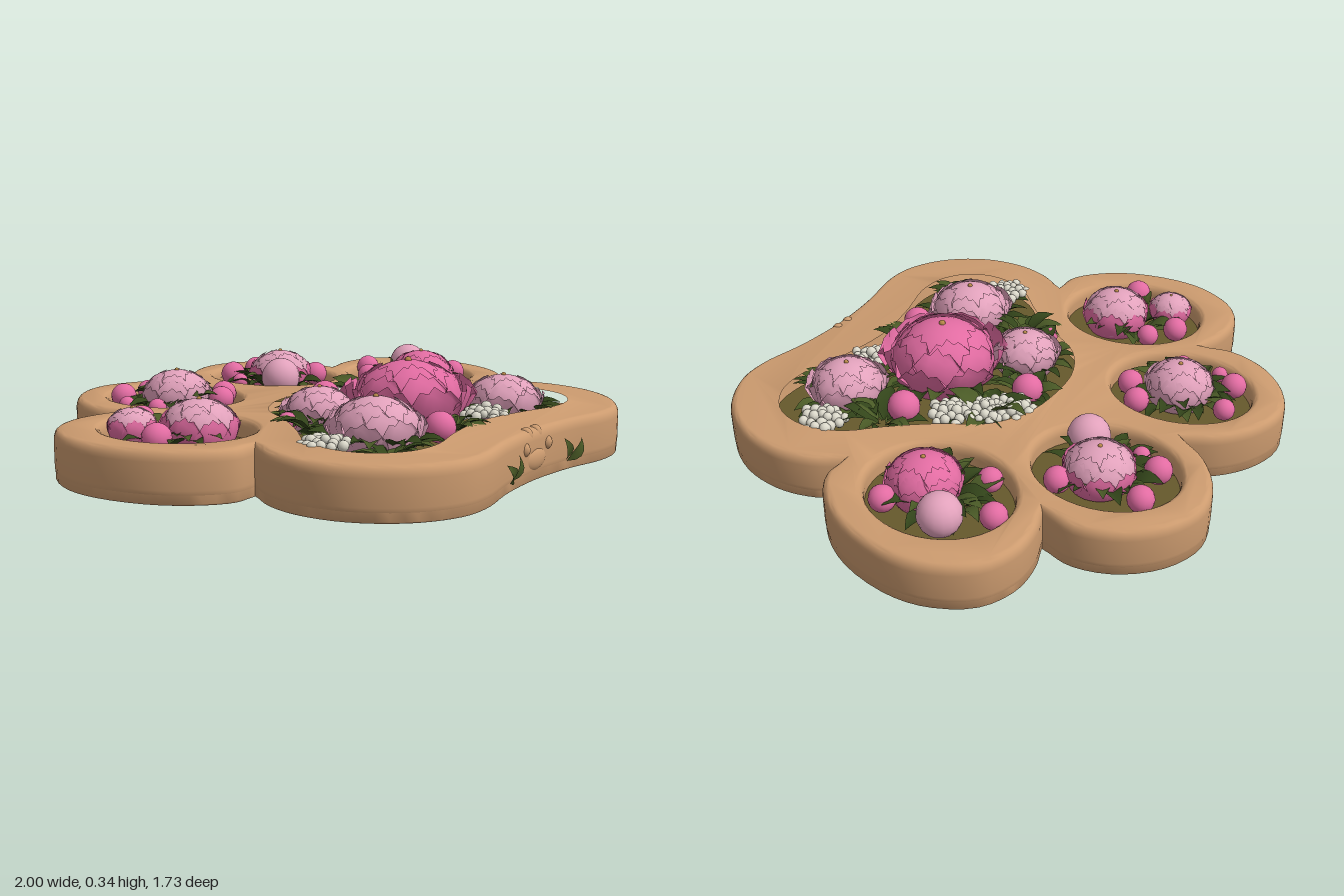
import * as THREE from 'three';
import { mergeGeometries, toCreasedNormals } from 'three/addons/utils/BufferGeometryUtils.js';

const mat = (name, color, side = THREE.FrontSide) => {
  const m = new THREE.MeshStandardMaterial({ color, side });
  m.name = name;
  return m;
};
const V = (x, y, z) => new THREE.Vector3(x, y, z);

// Smooth list of [x, z] points, sampled as shape points (shape y = -z)
const spline = (pts, n, closed = false) =>
  new THREE.CatmullRomCurve3(pts.map(([x, z]) => V(x, -z, 0)), closed, 'centripetal')
    .getPoints(n).slice(0, -1).map((p) => new THREE.Vector2(p.x, p.y));
const mirror = (pts) => pts.map(([x, z]) => [-x, z]).reverse();

// Surface from a grid of points f(u, v), u and v in 0..1
function sheet(nu, nv, f) {
  const pos = [], idx = [];
  for (let j = 0; j <= nv; j++) for (let i = 0; i <= nu; i++) pos.push(...f(i / nu, j / nv, i));
  for (let j = 0; j < nv; j++) for (let i = 0; i < nu; i++) {
    const a = j * (nu + 1) + i, b = a + nu + 1;
    idx.push(a, a + 1, b, a + 1, b + 1, b);
  }
  const g = new THREE.BufferGeometry();
  g.setAttribute('position', new THREE.Float32BufferAttribute(pos, 3));
  g.setIndex(idx);
  g.computeVertexNormals();
  return g;
}

// Cupped petal with a ragged tip, wrapped on a flattened globe of radius 1
const petal = (low, high, half, flare) => sheet(6, 5, (u, v, i) => {
  const s = u * 2 - 1;
  const tip = 1 - 0.22 * s * s - (i % 2 ? 0 : 0.1);
  const t = THREE.MathUtils.degToRad(low + (high - low) * v * tip);
  const a = s * half * Math.sin(Math.PI * (0.3 + 0.45 * v));
  const r = 1 + flare * v * v;
  return [Math.sin(t) * Math.sin(a) * r, Math.cos(t) * 0.85, Math.sin(t) * Math.cos(a) * r];
});

// Pointed leaf along +z, folded at the midrib, drooping at its tip
const leafShape = () => sheet(2, 5, (u, v) => {
  const w = 0.24 * Math.sin(Math.PI * Math.pow(v, 0.8));
  return [(u * 2 - 1) * w, Math.abs(u * 2 - 1) * w * 0.4 + 0.22 * Math.sin(v * 2.6), v];
});

export function createModel() {
  const group = new THREE.Group();
  const clay = mat('clay', 0xcc9b6f), soil = mat('soil', 0x66592c);
  const light = mat('lightPink', 0xe2a2bc, THREE.DoubleSide);
  const deep = mat('deepPink', 0xe26ca2, THREE.DoubleSide);
  const green = mat('darkGreen', 0x33451a, THREE.DoubleSide);
  const olive = mat('leafGreen', 0x4a5a26, THREE.DoubleSide);
  const cream = mat('cream', 0xdddacc), gold = mat('gold', 0xb98a4a);
  let seed = 7;
  const rand = (a, b) => {
    seed = (seed * 16807) % 2147483647;
    return a + (b - a) * seed / 2147483647;
  };
  const add = (name, geo, material, parent = group) => {
    const m = new THREE.Mesh(geo, material);
    m.name = name;
    parent.add(m);
  };

  // Paw outline: inner toe, outer toe, then the pad right across the front
  const toeA = [[0, -0.65], [0.06, -0.75], [0.17, -0.835], [0.31, -0.87], [0.45, -0.82], [0.56, -0.7], [0.6, -0.56], [0.575, -0.45]];
  const toeB = [[0.575, -0.45], [0.66, -0.48], [0.78, -0.485], [0.9, -0.43], [0.98, -0.3], [1, -0.16], [0.96, 0.03], [0.88, 0.16], [0.78, 0.235], [0.695, 0.235]];
  const padSide = [[0.695, 0.235], [0.75, 0.33], [0.775, 0.46], [0.745, 0.62], [0.64, 0.77], [0.5, 0.85], [0.38, 0.86], [0.2, 0.825]];
  const outline = [
    ...spline(toeA, 26), ...spline(toeB, 30), ...spline([...padSide, [0, 0.81], ...mirror(padSide)], 70),
    ...spline(mirror(toeB), 30), ...spline(mirror(toeA), 26),
  ];

  // Pockets: four tilted ovals and the pad
  const oval = (x, z, rx, rz, tilt) => new THREE.EllipseCurve(x, -z, rx, rz, 0, Math.PI * 2, false, tilt).getPoints(40).slice(0, -1);
  const padHalf = [[0.16, -0.16], [0.3, -0.075], [0.39, 0.07], [0.49, 0.2], [0.595, 0.32], [0.64, 0.46], [0.605, 0.6], [0.5, 0.685], [0.37, 0.7], [0.2, 0.655]];
  const pockets = [
    oval(-0.275, -0.505, 0.212, 0.252, 0.08), oval(0.275, -0.505, 0.212, 0.252, -0.08),
    oval(-0.655, -0.12, 0.222, 0.255, 0.2), oval(0.655, -0.12, 0.222, 0.255, -0.2),
    spline([[0, -0.18], ...padHalf, [0, 0.625], ...mirror(padHalf)], 80, true),
  ];

  // Tray: solid base below, pocketed rounded rim above
  const extrude = (pts, holes, y0, y1, size, thick, inset) => {
    const shape = new THREE.Shape(pts);
    shape.holes = holes.map((h) => new THREE.Path(h));
    const g = new THREE.ExtrudeGeometry(shape, {
      depth: y1 - y0 - 2 * thick, bevelEnabled: true, bevelSize: size, bevelOffset: -size - inset,
      bevelThickness: thick, bevelSegments: 5,
    });
    g.rotateX(-Math.PI / 2).translate(0, y0 + thick, 0);
    return toCreasedNormals(g, 0.7);
  };
  add('trayBase', extrude(outline, [], 0, 0.095, 0.006, 0.008, 0.002), clay);
  add('trayRim', extrude(outline, pockets, 0.01, 0.167, 0.024, 0.036, 0), clay);
  pockets.forEach((p) => {
    const g = new THREE.ShapeGeometry(new THREE.Shape(p)).rotateX(-Math.PI / 2);
    add('pocketSoil', g.translate(0, 0.1, 0), soil);
  });

  // Leaves fanned around a centre, from radius r0 to r1
  const leafGeo = leafShape();
  const leaf = (x, y, z, yaw, pitch, roll, len) => {
    const m = new THREE.Matrix4().compose(V(x, y, z),
      new THREE.Quaternion().setFromEuler(new THREE.Euler(pitch, yaw, roll, 'YXZ')), V(len, len, len));
    return leafGeo.clone().applyMatrix4(m);
  };
  const fan = (x, z, r0, r1, n) => {
    const sets = [[], []];
    for (let i = 0; i < n; i++) {
      const a = (i + rand(-0.3, 0.3)) / n * Math.PI * 2, r = r0 * rand(0.8, 1);
      sets[i % 3 === 0 ? 1 : 0].push(leaf(x + Math.sin(a) * r, rand(0.105, 0.135), z + Math.cos(a) * r,
        a + rand(-0.3, 0.3), rand(-0.35, 0), rand(-0.3, 0.3), (r1 - r0) * rand(0.9, 1.15)));
    }
    add('darkLeaves', mergeGeometries(sets[0]), green);
    add('leaves', mergeGeometries(sets[1]), olive);
  };

  // Peony: core globe and rings of overlapping petals
  const rings = [[8, 125, 58, 0.55, 0.33], [7, 115, 42, 0.62, 0.12], [6, 100, 24, 0.75, 0.05]];
  const peony = (x, z, r, y, inner, outer, open = 1) => {
    const flower = new THREE.Group();
    flower.name = 'peony';
    flower.position.set(x, y, z);
    flower.scale.setScalar(r);
    flower.rotation.y = rand(0, 6);
    group.add(flower);
    add('core', new THREE.SphereGeometry(0.95, 24, 16).scale(1, 0.86, 1), inner, flower);
    rings.forEach(([n, low, high, half, flare], k) => {
      const geos = [];
      for (let i = 0; i < n; i++) {
        geos.push(petal(low, high + rand(-5, 5), half, flare * open + (i % 2) * 0.03)
          .rotateY((i + k * 0.5) / n * Math.PI * 2));
      }
      add('petals', mergeGeometries(geos), k === 0 ? outer : inner, flower);
    });
    add('stamen', new THREE.SphereGeometry(0.07, 8, 6).translate(0, 0.81, 0), gold, flower);
  };
  const bud = (x, z, r, material = deep) =>
    add('bud', new THREE.SphereGeometry(r, 16, 12).translate(x, 0.13 + r * 0.7, z), material);

  // Pad planting
  [[0.04, 0.29, 0.18, 0.185, deep], [-0.33, 0.42, 0.138, 0.165, light], [0.34, 0.49, 0.125, 0.16, light], [-0.18, 0.08, 0.115, 0.155, light]]
    .forEach(([x, z, r, y, m]) => {
      fan(x, z, r * 0.85, r + 0.1, 18);
      peony(x, z, r, y, m, m, m === deep ? 1 : 0.6);
    });
  [[0.2, 0, 0.16, 12], [0.42, 0.28, 0.14, 12], [-0.46, 0.57, 0.13, 9], [-0.06, 0.53, 0.13, 10], [-0.34, 0.18, 0.14, 10], [0.02, -0.05, 0.13, 10], [-0.52, 0.4, 0.11, 8]]
    .forEach(([x, z, r, n]) => fan(x, z, 0.015, r, n));
  [[0.03, -0.06, 0.055], [0.35, 0.24, 0.057], [-0.16, 0.55, 0.052], [-0.35, 0.08, 0.034]].forEach((b) => bud(...b));

  // Clusters of tiny cream blossoms
  [[0.15, -0.07], [0.21, 0], [0.28, 0.09], [-0.55, 0.39], [0.54, 0.44], [0.14, 0.54]].forEach(([x, z]) => {
    const geos = [];
    for (let i = 0; i < 22; i++) {
      const a = i * 2.4, r = 0.0165 * Math.sqrt(i);
      geos.push(new THREE.SphereGeometry(rand(0.015, 0.021), 8, 6)
        .translate(x + Math.cos(a) * r, rand(0.15, 0.165) + 0.02 * (1 - r / 0.075), z + Math.sin(a) * r));
    }
    add('creamBlossoms', mergeGeometries(geos), cream);
  });

  // Toe planting
  [[-0.275, -0.505], [0.275, -0.505], [-0.655, -0.12], [0.655, -0.12]].forEach(([x, z]) => {
    fan(x, z, 0.09, 0.21, 20);
    fan(x, z, 0.05, 0.17, 12);
  });
  peony(-0.27, -0.5, 0.115, 0.165, light, light, 0.3);
  peony(0.31, -0.5, 0.115, 0.165, light, deep, 0.3);
  peony(-0.62, -0.06, 0.12, 0.16, light, deep, 0.25);
  peony(0.65, -0.06, 0.12, 0.16, deep, deep, 0.25);
  peony(-0.75, -0.23, 0.078, 0.165, light, deep, 0.2);
  bud(0.18, -0.39, 0.073, light);
  bud(0.78, -0.21, 0.073, light);
  [
    [-0.38, -0.66, 0.045], [-0.23, -0.69, 0.038], [-0.12, -0.41, 0.045], [-0.21, -0.34, 0.045], [-0.43, -0.44, 0.032], [-0.44, -0.58, 0.028],
    [0.21, -0.66, 0.047], [0.37, -0.68, 0.045], [0.42, -0.41, 0.045], [0.15, -0.57, 0.03],
    [-0.63, -0.31, 0.045], [-0.54, -0.24, 0.04], [-0.81, -0.06, 0.048],
    [0.68, -0.34, 0.045], [0.53, -0.23, 0.042], [0.79, 0, 0.045],
  ].forEach((b) => bud(...b));

  // Raised paw print on the front wall, with a pair of leaves on each side
  const bump = (x, y, z, rx, ry) => add('pawRelief', new THREE.SphereGeometry(1, 16, 12).scale(rx, ry, 0.024).translate(x, y, z), clay);
  bump(0, 0.07, 0.797, 0.072, 0.04);
  for (const s of [-1, 1]) {
    bump(s * 0.072, 0.112, 0.8, 0.021, 0.025);
    bump(s * 0.029, 0.145, 0.785, 0.023, 0.029);
    add('frontLeaves', mergeGeometries([
      leaf(s * 0.185, 0.03, 0.822, s * 1.4, -0.85, s * 1.57, 0.095),
      leaf(s * 0.18, 0.035, 0.822, s * 1.5, -1.95, s * 1.57, 0.085),
    ]), olive);
  }
  return group;
}
